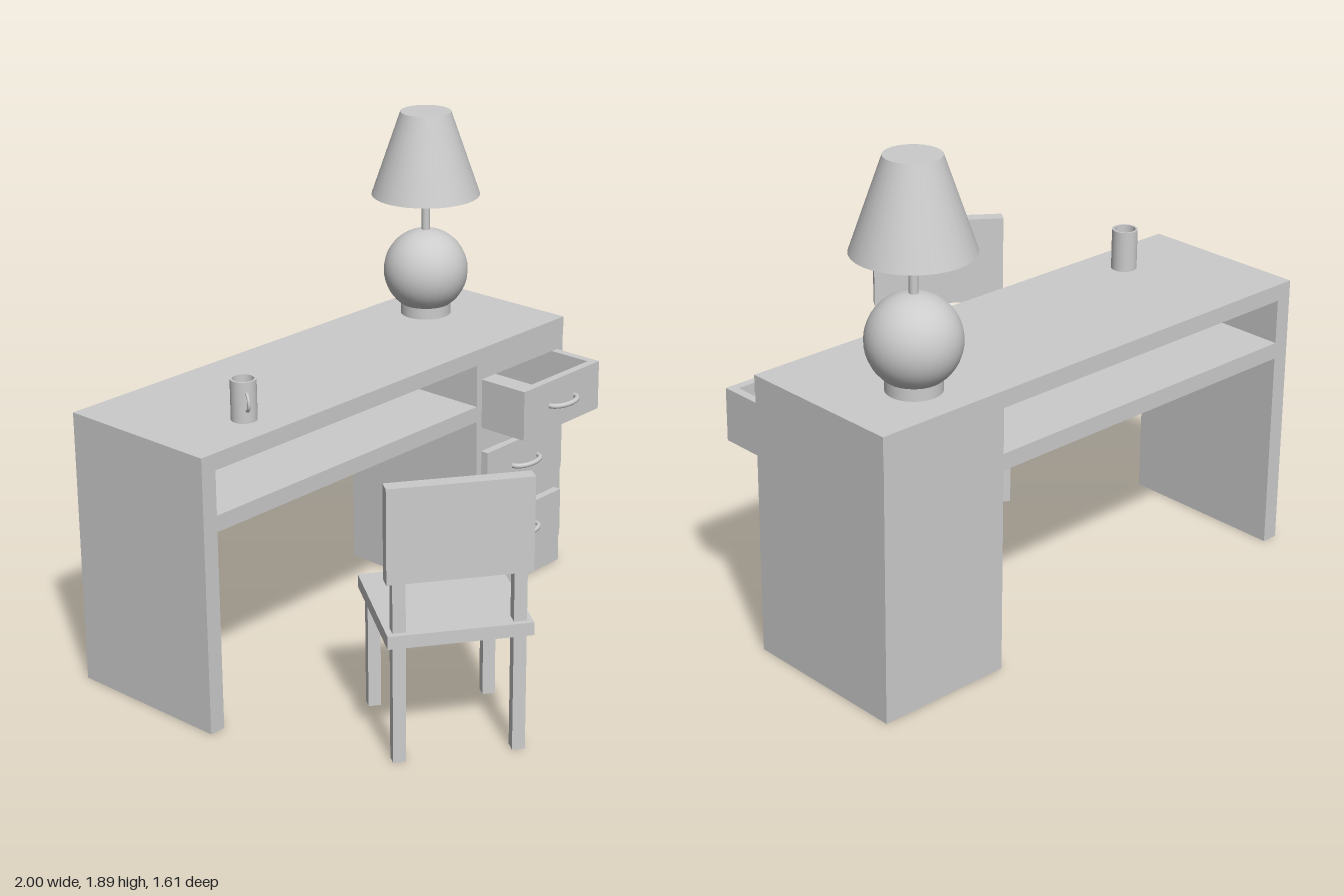
import * as THREE from 'three';

const mat = new THREE.MeshStandardMaterial({ color: 0xcccccc, side: THREE.DoubleSide });

function add(parent, name, geometry, x = 0, y = 0, z = 0) {
  const mesh = new THREE.Mesh(geometry, mat);
  mesh.name = name;
  mesh.position.set(x, y, z);
  parent.add(mesh);
  return mesh;
}

// Box given by its minimum and maximum corners
function box(parent, name, [x0, y0, z0], [x1, y1, z1]) {
  return add(parent, name, new THREE.BoxGeometry(x1 - x0, y1 - y0, z1 - z0),
    (x0 + x1) / 2, (y0 + y1) / 2, (z0 + z1) / 2);
}

function group(parent, name) {
  const g = new THREE.Group();
  g.name = name;
  parent.add(g);
  return g;
}

// Clockwise or counter-clockwise rectangle path
function rect(path, x0, y0, x1, y1) {
  path.moveTo(x0, y0);
  path.lineTo(x1, y0);
  path.lineTo(x1, y1);
  path.lineTo(x0, y1);
  path.closePath();
  return path;
}

const FRONT = -0.137, BACK = -0.8, TOP = 1.067, UNDER = 1.003;
const DRAWER = { x0: 0.497, x1: 0.965, height: 0.2, depth: 0.58 };
const DRAWER_BOTTOMS = [0.137, 0.437, 0.737];

// Open-topped drawer with a bowed pull; zFront is its front face
function drawer(parent, y0, zFront) {
  const g = group(parent, 'drawer');
  const { x0, x1, height, depth } = DRAWER;
  const y1 = y0 + height, zBack = zFront - depth, t = 0.032;
  box(g, 'drawerFloor', [x0 + t, y0, zBack + t], [x1 - t, y0 + t, zFront - t]);
  box(g, 'drawerFront', [x0, y0, zFront - t], [x1, y1, zFront]);
  box(g, 'drawerBack', [x0, y0, zBack], [x1, y1, zBack + t]);
  box(g, 'drawerSideRight', [x0, y0, zBack + t], [x0 + t, y1, zFront - t]);
  box(g, 'drawerSideLeft', [x1 - t, y0, zBack + t], [x1, y1, zFront - t]);

  const points = [];
  for (let i = 0; i <= 12; i++) {
    const a = Math.PI * i / 12;
    points.push(new THREE.Vector3(-0.078 * Math.cos(a), 0, 0.043 * Math.sin(a)));
  }
  const curve = new THREE.CatmullRomCurve3(points);
  add(g, 'drawerHandle', new THREE.TubeGeometry(curve, 32, 0.01, 12), 0.733, y0 + height / 2, zFront);
}

function buildDesk(root) {
  const desk = group(root, 'desk');
  box(desk, 'deskTop', [-1, UNDER, BACK], [1, TOP, FRONT]);
  box(desk, 'sidePanel', [-1, 0, BACK], [-0.935, UNDER, FRONT]);
  box(desk, 'shelf', [-0.935, 0.77, BACK], [0.465, 0.833, FRONT]);

  // Pedestal with three drawer openings, closed by a back panel
  const shape = rect(new THREE.Shape(), 0.465, 0, 0.998, UNDER);
  const gap = 0.002;
  for (const y of DRAWER_BOTTOMS) {
    shape.holes.push(rect(new THREE.Path(), DRAWER.x0 - gap, y - gap,
      DRAWER.x1 + gap, y + DRAWER.height + gap));
  }
  const backThickness = 0.03;
  add(desk, 'pedestal', new THREE.ExtrudeGeometry(shape, {
    depth: FRONT - BACK - backThickness, bevelEnabled: false,
  }), 0, 0, BACK + backThickness);
  box(desk, 'pedestalBack', [0.465, 0, BACK], [0.998, UNDER, BACK + backThickness]);

  // The top drawer stands open
  DRAWER_BOTTOMS.forEach((y, i) => drawer(desk, y, i === 2 ? 0.073 : -0.107));
}

function buildLamp(root) {
  const lamp = group(root, 'lamp');
  lamp.position.set(0.68, TOP, -0.59);
  const cyl = (name, rTop, rBottom, y0, y1) => add(lamp, name,
    new THREE.CylinderGeometry(rTop, rBottom, y1 - y0, 32), 0, (y0 + y1) / 2, 0);
  cyl('lampFoot', 0.1, 0.1, 0, 0.053);
  add(lamp, 'lampBody', new THREE.SphereGeometry(0.168, 32, 24), 0, 0.18, 0);
  cyl('lampStem', 0.016, 0.016, 0.34, 0.45);
  cyl('lampSocket', 0.022, 0.022, 0.443, 0.5);
  cyl('lampShade', 0.1, 0.215, 0.493, 0.826);
}

function buildMug(root) {
  const mug = group(root, 'mug');
  mug.position.set(-0.64, TOP, -0.292);
  mug.rotation.y = -2.1;
  const h = 0.155, r = 0.048, inner = 0.04;
  add(mug, 'mugWall', new THREE.CylinderGeometry(r, r, h, 32, 1, true), 0, h / 2, 0);
  add(mug, 'mugInside', new THREE.CylinderGeometry(inner, inner, h - 0.01, 32, 1, true), 0, h / 2 + 0.005, 0);
  add(mug, 'mugRim', new THREE.RingGeometry(inner, r, 32), 0, h, 0).rotation.x = -Math.PI / 2;
  add(mug, 'mugFloor', new THREE.CylinderGeometry(r - 0.001, r - 0.001, 0.01, 32), 0, 0.005, 0);
  // Half-ring handle on the local +x side
  const handle = add(mug, 'mugHandle', new THREE.TorusGeometry(0.032, 0.006, 10, 20, Math.PI), r - 0.004, 0.081, 0);
  handle.rotation.z = -Math.PI / 2;
}

function buildChair(root) {
  // Backrest is on the local +z side
  const chair = group(root, 'chair');
  chair.position.set(-0.391, 0, 0.438);
  chair.rotation.y = -0.627;
  const half = 0.26, legAt = 0.215, leg = 0.047;
  box(chair, 'seat', [-half, 0.455, -half], [half, 0.504, half]);
  for (const sx of [-1, 1]) {
    for (const sz of [-1, 1]) {
      add(chair, sz > 0 ? 'backLeg' : 'frontLeg',
        new THREE.BoxGeometry(leg, 0.455, leg), sx * legAt, 0.2275, sz * legAt);
    }
    add(chair, 'backPost', new THREE.BoxGeometry(leg, 0.188, leg), sx * legAt, 0.598, legAt);
  }
  box(chair, 'backrest', [-half, 0.69, 0.19], [half, 1.045, 0.245]);
}

export function createModel() {
  const root = new THREE.Group();
  root.name = 'deskSet';
  buildDesk(root);
  buildLamp(root);
  buildMug(root);
  buildChair(root);
  return root;
}
